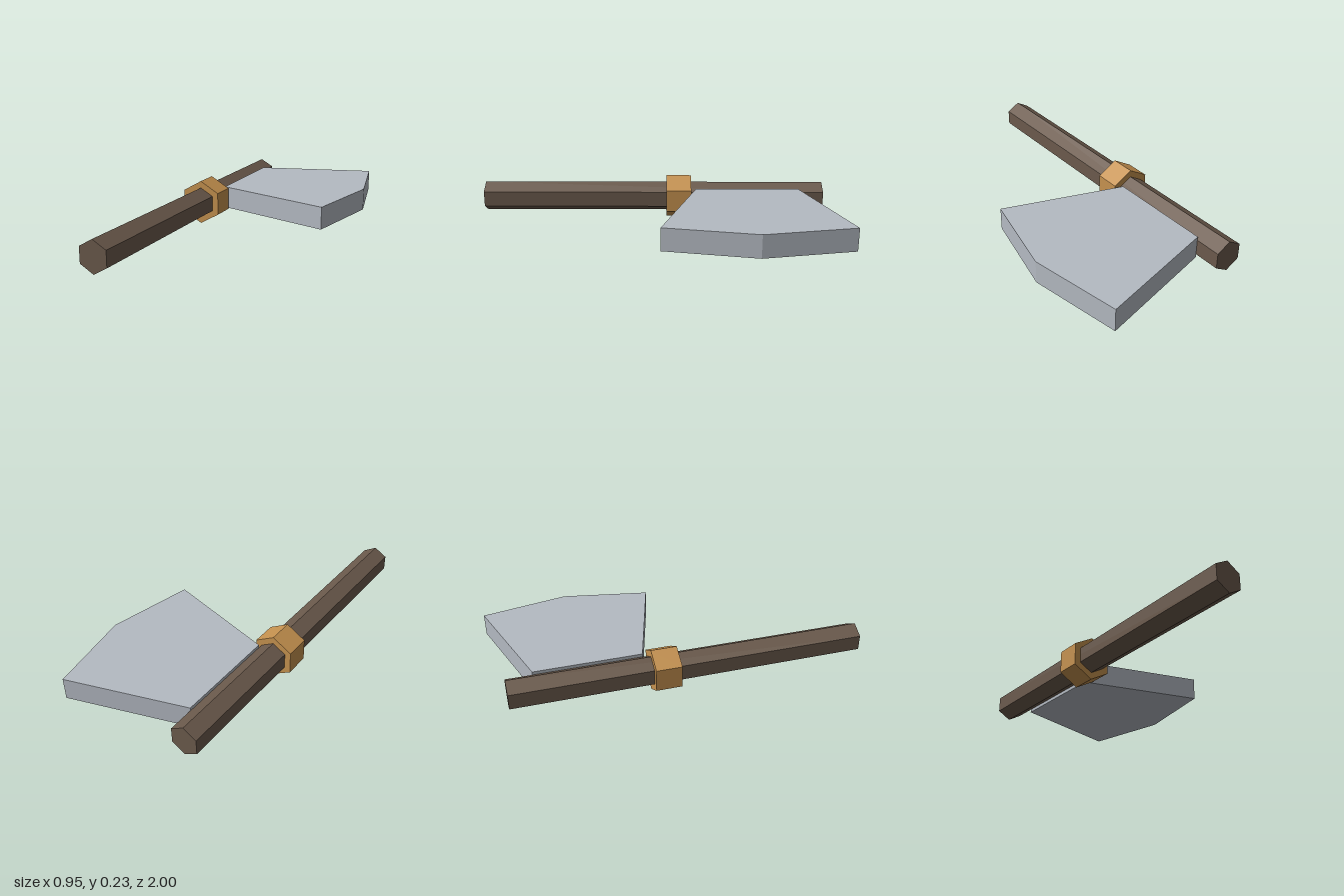
import * as THREE from 'three';

const material = (name, color) =>
  new THREE.MeshStandardMaterial({ name, color, flatShading: true });

export function createModel() {
  const wood = material('dark wood', 0x6b5a4c);
  const brass = material('brass', 0xc6924f);
  const steel = material('steel', 0xb4bac2);

  const axe = new THREE.Group();
  axe.name = 'axe';

  // Hexagonal bar lying along z, with an edge at top and bottom
  const hexBar = (name, radius, length, mat) => {
    const geometry = new THREE.CylinderGeometry(radius, radius, length, 6).rotateX(Math.PI / 2);
    const mesh = new THREE.Mesh(geometry, mat);
    mesh.name = name;
    return mesh;
  };

  // Shaft and collar share one axis, turned 15 degrees
  const shaft = new THREE.Group();
  shaft.name = 'shaft';
  shaft.position.set(-0.174, 0.1155, 0.098);
  shaft.rotation.y = Math.PI / 12;
  const handle = hexBar('handle', 0.079, 1.822, wood);
  const collar = hexBar('collar', 0.1155, 0.132, brass);
  collar.position.z = -0.137;
  shaft.add(handle, collar);
  axe.add(shaft);

  // Flat blade outline (x, z), extruded upward, butting against the handle
  const outline = [[-0.311, -0.67], [-0.168, -0.14], [0.473, -0.122], [0.441, -0.585], [0.236, -1.0]];
  const shape = new THREE.Shape(outline.map(([x, z]) => new THREE.Vector2(x, -z)));
  const bladeGeometry = new THREE.ExtrudeGeometry(shape, { depth: 0.115, bevelEnabled: false });
  bladeGeometry.rotateX(-Math.PI / 2);
  const blade = new THREE.Mesh(bladeGeometry, steel);
  blade.name = 'blade';
  blade.position.y = 0.058;
  axe.add(blade);

  return axe;
}
